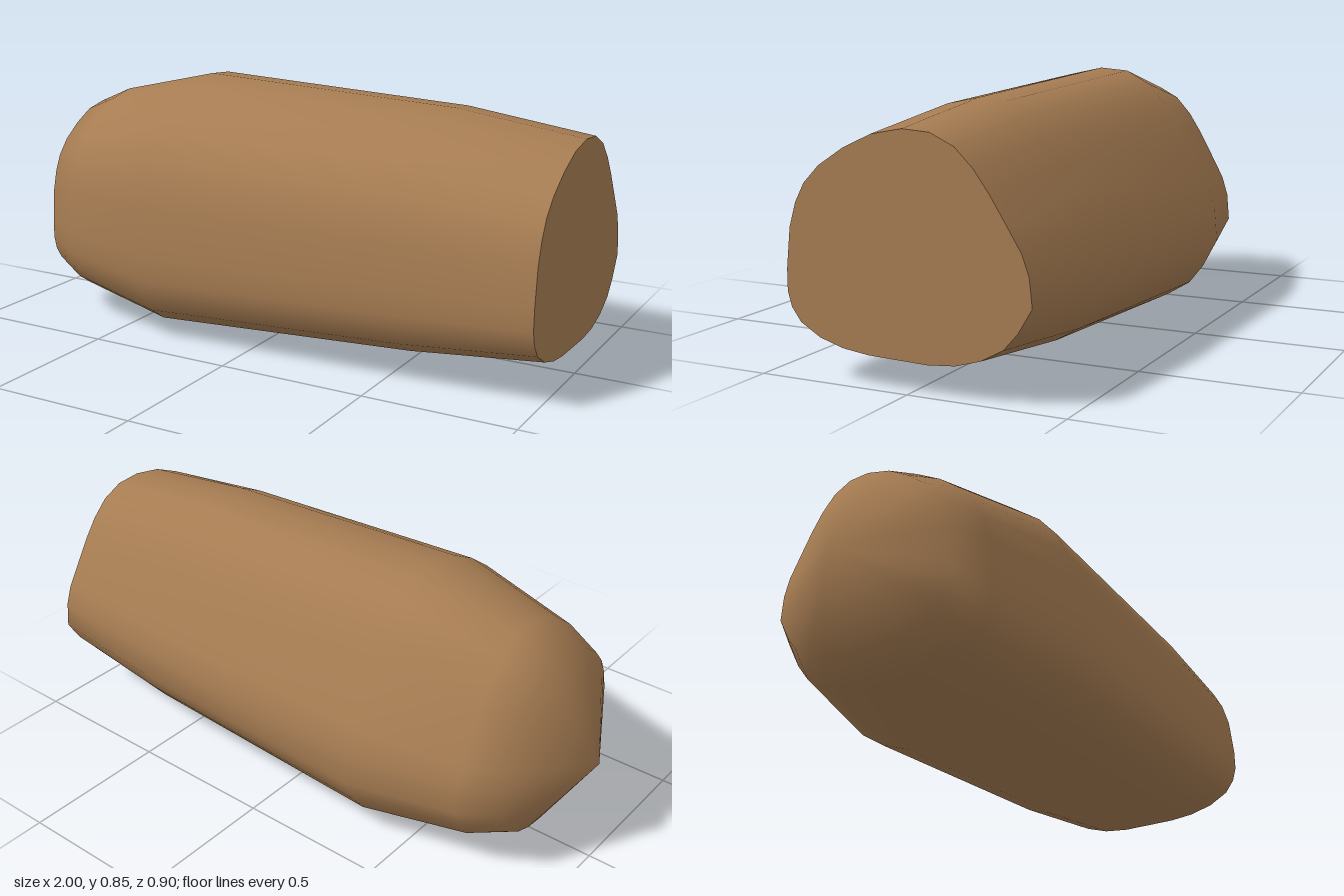
import * as THREE from 'three';

// Rounded-triangle cross-section at its fullest: [z, y], from the top round by the back
const outline = [
  [0, .85], [-.1, .842], [-.185, .797], [-.25, .725], [-.305, .64], [-.355, .55], [-.415, .44],
  [-.44, .36], [-.45, .25], [-.4, .155], [-.35, .09], [-.27, .04], [-.18, .01], [-.08, 0],
  [.02, .003], [.14, .007], [.235, .02], [.325, .05], [.4, .1], [.435, .155], [.45, .215],
  [.45, .3], [.435, .46], [.41, .555], [.375, .63], [.315, .7], [.22, .77], [.115, .825],
];
// Stations along the length: [x, lowest y, highest y, back z, front z]
const stations = [
  [-.84, .11, .71, -.307, .3],
  [-.715, .06, .765, -.372, .363],
  [-.35, 0, .85, -.45, .45],
  [.57, .05, .81, -.432, .425],
  [1, .095, .755, -.397, .402],
];
const N = outline.length;

// Fit the outline into the bounds of one station
const ring = ([x, y0, y1, z0, z1]) => outline.map(([z, y]) => [
  x, y0 + (y / .85) * (y1 - y0), z0 + ((z + .45) / .9) * (z1 - z0),
]);

function surface(points, index, material, name) {
  const geometry = new THREE.BufferGeometry();
  geometry.setAttribute('position', new THREE.Float32BufferAttribute(points.flat(), 3));
  geometry.setIndex(index);
  geometry.computeVertexNormals();
  const mesh = new THREE.Mesh(geometry, material);
  mesh.name = name;
  return mesh;
}

export function createModel() {
  const group = new THREE.Group();
  group.name = 'taperedBody';
  const material = new THREE.MeshStandardMaterial({ color: 0xa67c52 });
  const rings = stations.map(ring);

  // Smooth body, closed to a point at the nose (vertex 0)
  const points = [[-1, .375, -.01], ...rings.flat()];
  const index = [];
  for (let j = 0; j < N; j++) {
    const k = (j + 1) % N;
    index.push(0, 1 + j, 1 + k);
    for (let i = 0; i < rings.length - 1; i++) {
      const a = 1 + i * N + j, b = 1 + i * N + k;
      index.push(a, a + N, b, b, a + N, b + N);
    }
  }
  group.add(surface(points, index, material, 'body'));

  // Flat cut end, with its own vertices for a sharp rim
  const capIndex = [];
  for (let j = 0; j < N; j++) capIndex.push(0, 1 + ((j + 1) % N), 1 + j);
  group.add(surface([[1, .4, 0], ...rings[rings.length - 1]], capIndex, material, 'endCap'));

  return group;
}
